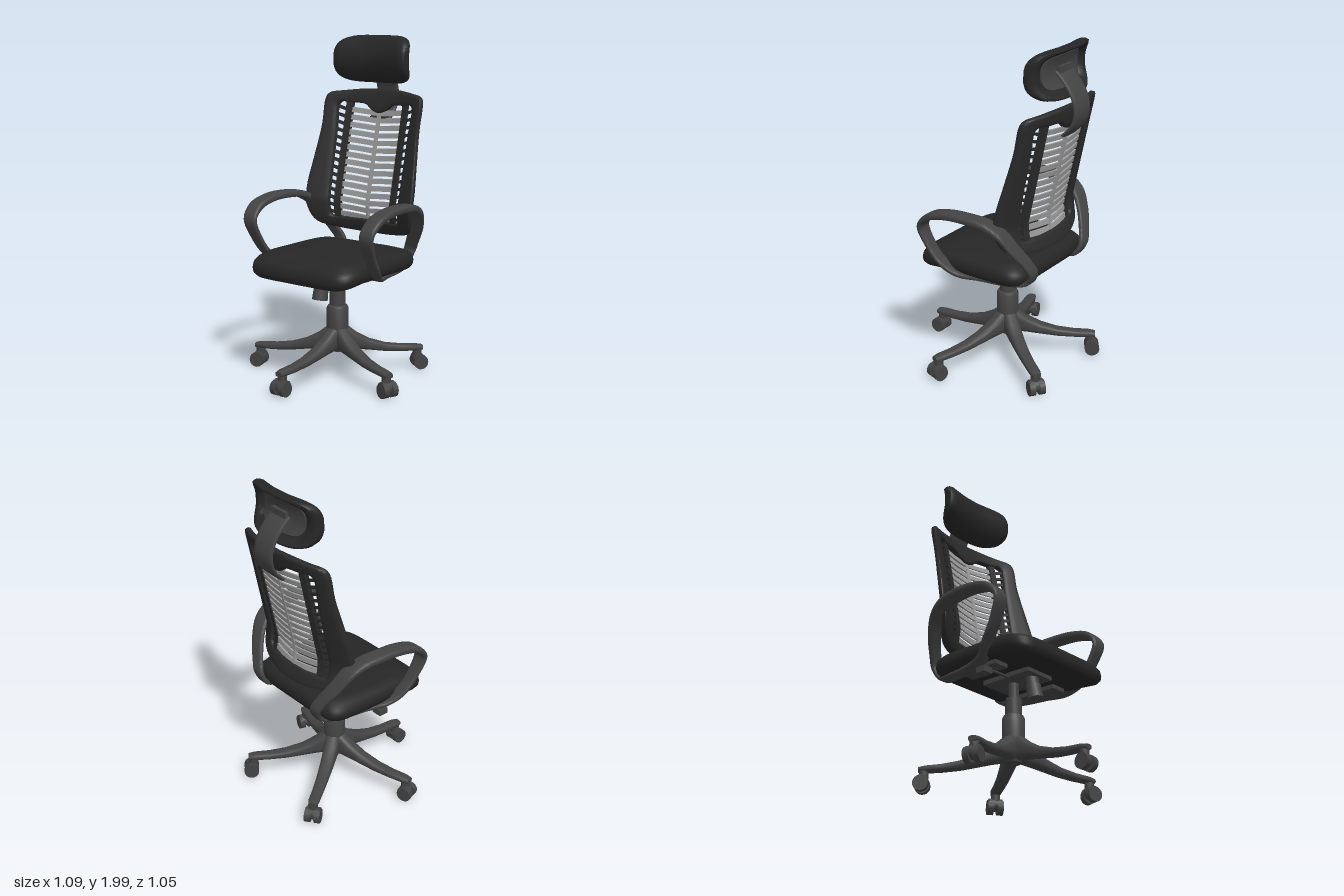
import * as THREE from 'three';
import { toCreasedNormals } from 'three/addons/utils/BufferGeometryUtils.js';

const V = (x, y, z) => new THREE.Vector3(x, y, z);
const mat = (name, color) => {
  const m = new THREE.MeshStandardMaterial({ color });
  m.name = name;
  return m;
};

// Skin a list of equal-length closed loops; ends are capped unless the rings join up.
function loft(rings, closed = false) {
  if (!closed) {
    const cap = (r) => {
      const c = V(0, 0, 0);
      r.forEach((p) => c.addScaledVector(p, 1 / r.length));
      return r.map(() => c);
    };
    rings = [cap(rings[0]), ...rings, cap(rings[rings.length - 1])];
  }
  const n = rings[0].length, R = rings.length, pts = rings.flat(), tris = [];
  let volume = 0;
  const tri = (a, b, c) => {
    volume += pts[a].dot(V(0, 0, 0).crossVectors(pts[b], pts[c]));
    tris.push([a, b, c]);
  };
  for (let i = 0; i < (closed ? R : R - 1); i++) {
    for (let j = 0; j < n; j++) {
      const k = (j + 1) % n, i2 = (i + 1) % R;
      const a = i * n + j, b = i * n + k, c = i2 * n + k, d = i2 * n + j;
      tri(a, b, c);
      tri(a, c, d);
    }
  }
  const geo = new THREE.BufferGeometry().setFromPoints(pts);
  geo.setIndex(tris.flatMap(([a, b, c]) => (volume > 0 ? [a, b, c] : [a, c, b])));
  return toCreasedNormals(geo, 0.8);
}

// Rounded-rectangle loop as [u, v] pairs.
function superLoop(hu, hv, power, n) {
  const f = (t) => Math.sign(t) * Math.pow(Math.abs(t), 2 / power);
  return Array.from({ length: n }, (_, i) => {
    const a = ((i + 0.5) / n) * Math.PI * 2;
    return [hu * f(Math.cos(a)), hv * f(Math.sin(a))];
  });
}

// Flat band swept along a curve, its width kept close to the x axis.
function band(points, closed, steps, width, thick) {
  const curve = new THREE.CatmullRomCurve3(points.map((p) => V(...p)), closed);
  const rings = [];
  for (let i = 0; i < (closed ? steps : steps + 1); i++) {
    const t = i / steps, c = curve.getPoint(t), T = curve.getTangent(t);
    const W = V(1, 0, 0).addScaledVector(T, -T.x).normalize();
    const N = V(0, 0, 0).crossVectors(T, W);
    rings.push(superLoop(width(c), thick(c), 4, 16).map(([u, v]) =>
      c.clone().addScaledVector(W, u).addScaledVector(N, v)));
  }
  return loft(rings, closed);
}

// Curved surface that the whole backrest follows.
const backZ = (x, y) => -0.315 - 0.215 * Math.max(0, y - 1)
  - 1.2 * Math.max(0, 1 - y) ** 2 + 0.095 * (x / 0.38) ** 2;

function bendToBack(geo, droop = 0) {
  const p = geo.attributes.position;
  for (let i = 0; i < p.count; i++) {
    const x = p.getX(i), y = p.getY(i) + droop * Math.abs(x);
    p.setXYZ(i, x, y, p.getZ(i) + backZ(x, y));
  }
  return toCreasedNormals(geo, 0.6);
}

export function createModel() {
  const fabric = mat('black fabric', 0x262626);
  const shell = mat('black plastic', 0x2a2a2a);
  const plastic = mat('dark grey plastic', 0x434343);
  const light = mat('light grey slats', 0x9a9a9a);
  const model = new THREE.Group();
  model.name = 'officeChair';
  const add = (name, geo, material, parent = model) => {
    const m = new THREE.Mesh(geo, material);
    m.name = name;
    parent.add(m);
    return m;
  };
  const box = (name, w, h, d, x, y, z, material = plastic) => {
    const m = add(name, new THREE.BoxGeometry(w, h, d), material);
    m.position.set(x, y, z);
    return m;
  };

  // Seat cushion: stacked loops with a drooping front edge
  const seatRings = [[0.4, 0.65], [0.85, 0.65], [0.95, 0.655], [0.99, 0.675], [1, 0.7],
    [0.985, 0.73], [0.94, 0.75], [0.8, 0.767], [0.5, 0.776], [0.2, 0.778]];
  add('seat', loft(seatRings.map(([s, y]) => superLoop(0.372 * s, 0.365 * s, 7, 64).map(([x, z]) =>
    V(x, y - 0.035 * Math.max(0, (z - 0.05) / 0.3) ** 2, z + 0.01)))), fabric);

  // Mechanism under the seat
  box('seatPlate', 0.2, 0.03, 0.34, 0, 0.637, 0);
  for (const s of [-1, 1]) box('armBracket', 0.1, 0.03, 0.26, s * 0.245, 0.64, -0.03);
  const knob = new THREE.Group();
  knob.name = 'tensionKnob';
  knob.position.set(0, 0.49, 0.135);
  knob.rotation.x = -0.2;
  model.add(knob);
  add('knobGrip', new THREE.CylinderGeometry(0.042, 0.046, 0.085, 20), plastic, knob).position.y = 0.04;
  add('knobShaft', new THREE.CylinderGeometry(0.036, 0.036, 0.1, 20), plastic, knob).position.y = 0.11;
  const lever = new THREE.CatmullRomCurve3([V(-0.05, 0.63, 0), V(-0.18, 0.615, 0.03), V(-0.31, 0.6, 0.04)]);
  add('leverRod', new THREE.TubeGeometry(lever, 12, 0.008, 8), plastic);
  box('leverPaddle', 0.065, 0.035, 0.06, -0.325, 0.585, 0.045);

  // Gas column and hub
  const column = [[0, 0.15], [0.045, 0.15], [0.065, 0.2], [0.065, 0.41], [0.058, 0.425],
    [0.047, 0.43], [0.047, 0.53], [0.03, 0.535], [0.03, 0.64], [0, 0.64]];
  add('column', toCreasedNormals(new THREE.LatheGeometry(
    column.map(([r, y]) => new THREE.Vector2(r, y)), 28), 0.6), plastic).position.z = -0.03;

  // Five legs with twin-wheel casters
  const legProfile = [[0.02, 0.16, 0.32, 0.045], [0.07, 0.155, 0.29, 0.045], [0.12, 0.15, 0.25, 0.043],
    [0.2, 0.138, 0.205, 0.04], [0.3, 0.122, 0.172, 0.036], [0.4, 0.114, 0.156, 0.033],
    [0.49, 0.112, 0.15, 0.032], [0.53, 0.114, 0.143, 0.024]];
  const legGeo = loft(legProfile.map(([r, lo, hi, w]) =>
    superLoop(w, (hi - lo) / 2, 3, 16).map(([u, v]) => V(u, (lo + hi) / 2 + v, r))));
  const wheelGeo = new THREE.CylinderGeometry(0.044, 0.044, 0.034, 24).rotateZ(Math.PI / 2);
  const hoodGeo = new THREE.CylinderGeometry(0.038, 0.038, 0.08, 20).rotateZ(Math.PI / 2);
  const stemGeo = new THREE.CylinderGeometry(0.027, 0.027, 0.06, 16);
  for (let i = 0; i < 5; i++) {
    const leg = new THREE.Group();
    leg.name = 'baseLeg';
    leg.position.z = -0.03;
    leg.rotation.y = (i * Math.PI * 2) / 5;
    model.add(leg);
    add('legBeam', legGeo, plastic, leg);
    add('casterStem', stemGeo, plastic, leg).position.set(0, 0.11, 0.5);
    add('casterHood', hoodGeo, plastic, leg).position.set(0, 0.056, 0.507);
    for (const s of [-1, 1]) add('casterWheel', wheelGeo, plastic, leg).position.set(s * 0.029, 0.044, 0.512);
  }

  // Loop armrests, running from under the seat up and round behind the back
  const armPath = [[0.43, 0.93, 0.255], [0.437, 1.0, 0.195], [0.437, 1.036, 0.08], [0.432, 1.044, -0.05],
    [0.415, 1.03, -0.18], [0.39, 0.98, -0.265], [0.355, 0.9, -0.32], [0.295, 0.8, -0.37],
    [0.26, 0.73, -0.388], [0.25, 0.665, -0.35], [0.275, 0.643, -0.24], [0.305, 0.64, -0.07],
    [0.35, 0.65, 0.055], [0.4, 0.72, 0.145], [0.418, 0.82, 0.215]];
  for (const s of [-1, 1]) {
    add(s > 0 ? 'leftArmrest' : 'rightArmrest', band(armPath.map(([x, y, z]) => [s * x, y, z]), true, 90,
      (c) => 0.038 + 0.012 * THREE.MathUtils.smoothstep(c.y, 0.75, 1.02),
      (c) => 0.014 + 0.008 * THREE.MathUtils.smoothstep(c.y, 0.92, 1.04)), plastic);
  }

  // Backrest frame: paired outer and inner outline points, top centre to bottom centre
  const half = [[0, 1.675, 0, 1.53], [0.07, 1.674, 0.05, 1.545], [0.14, 1.67, 0.1, 1.58],
    [0.25, 1.658, 0.2, 1.585], [0.33, 1.645, 0.255, 1.59], [0.352, 1.62, 0.275, 1.57],
    [0.355, 1.45, 0.27, 1.45], [0.377, 1.25, 0.265, 1.25], [0.395, 1.08, 0.26, 1.05],
    [0.385, 0.95, 0.255, 0.93], [0.34, 0.86, 0.245, 0.905], [0.2, 0.825, 0.15, 0.9], [0, 0.815, 0, 0.9]];
  const outline = [...half, ...half.slice(1, -1).reverse().map(([a, b, c, d]) => [-a, b, -c, d])];
  const outer = new THREE.CatmullRomCurve3(outline.map((p) => V(p[0], p[1], 0)), true);
  const inner = new THREE.CatmullRomCurve3(outline.map((p) => V(p[2], p[3], 0)), true);
  const frameRings = Array.from({ length: 120 }, (_, i) => {
    const o = outer.getPoint(i / 120), n = inner.getPoint(i / 120);
    return superLoop(0.5, 0.022, 4, 16).map(([u, d]) => {
      const p = n.clone().lerp(o, u + 0.5);
      return p.setZ(backZ(p.x, p.y) + d);
    });
  });
  add('backFrame', loft(frameRings, true), shell);

  // Back lattice: chevron slats, centre spine and two upright bars
  const lattice = new THREE.Group();
  lattice.name = 'backLattice';
  model.add(lattice);
  for (let i = 0; i < 15; i++) {
    const y = 0.905 + i * 0.0445;
    const slat = new THREE.BoxGeometry(0.4, 0.03, 0.012, 16, 1, 1).translate(0, y, 0);
    add('slat', bendToBack(slat, 0.08), light, lattice);
    for (const s of [-1, 1]) {
      const link = new THREE.BoxGeometry(0.07, 0.018, 0.012, 4, 1, 1).translate(s * 0.245, y - 0.05, 0);
      add('slatLink', bendToBack(link, 0.3), shell, lattice);
    }
  }
  for (const s of [-1, 1]) {
    const bar = new THREE.BoxGeometry(0.038, 0.7, 0.026, 2, 20, 1).translate(s * 0.205, 1.245, 0);
    add('uprightBar', bendToBack(bar), shell, lattice);
  }
  add('spine', bendToBack(new THREE.BoxGeometry(0.018, 0.66, 0.018, 2, 20, 1).translate(0, 1.225, 0)), light, lattice);

  // Headrest: curved pad with a hollow back
  const padRings = [[0.3, -0.05], [0.72, -0.05], [0.8, -0.078], [0.9, -0.085], [0.97, -0.075],
    [1, -0.05], [0.98, -0.025], [0.92, -0.01], [0.8, -0.002], [0.5, 0], [0.2, 0]];
  const padPoint = (x, y, d) => V(x, 1.853 + y * (1 + 0.05 * (x / 0.265) ** 2),
    -0.335 + 0.05 * (x / 0.265) ** 2 - 0.06 * (y / 0.14) ** 2 + d);
  add('headrest', loft(padRings.map(([s, d]) =>
    superLoop(0.267 * s, 0.141 * s, 3.8, 56).map(([x, y]) => padPoint(x, y, d)))), fabric);
  const plateRings = [[0.2, -0.057], [0.5, -0.057], [0.66, -0.057], [0.66, -0.048]];
  add('headrestBackPlate', loft(plateRings.map(([s, d]) =>
    superLoop(0.267 * s, 0.141 * s, 3.8, 48).map(([x, y]) => padPoint(x, y, d)))), plastic);
  box('headrestMount', 0.12, 0.06, 0.04, 0, 1.85, -0.395);

  // Curved strap joining the headrest to the back
  const strap = [[0, 1.85, -0.39], [0, 1.825, -0.42], [0, 1.77, -0.47], [0, 1.7, -0.508],
    [0, 1.63, -0.517], [0, 1.56, -0.495], [0, 1.5, -0.44]];
  add('headrestStrap', band(strap, false, 36, () => 0.077, () => 0.011), plastic);

  return model;
}
